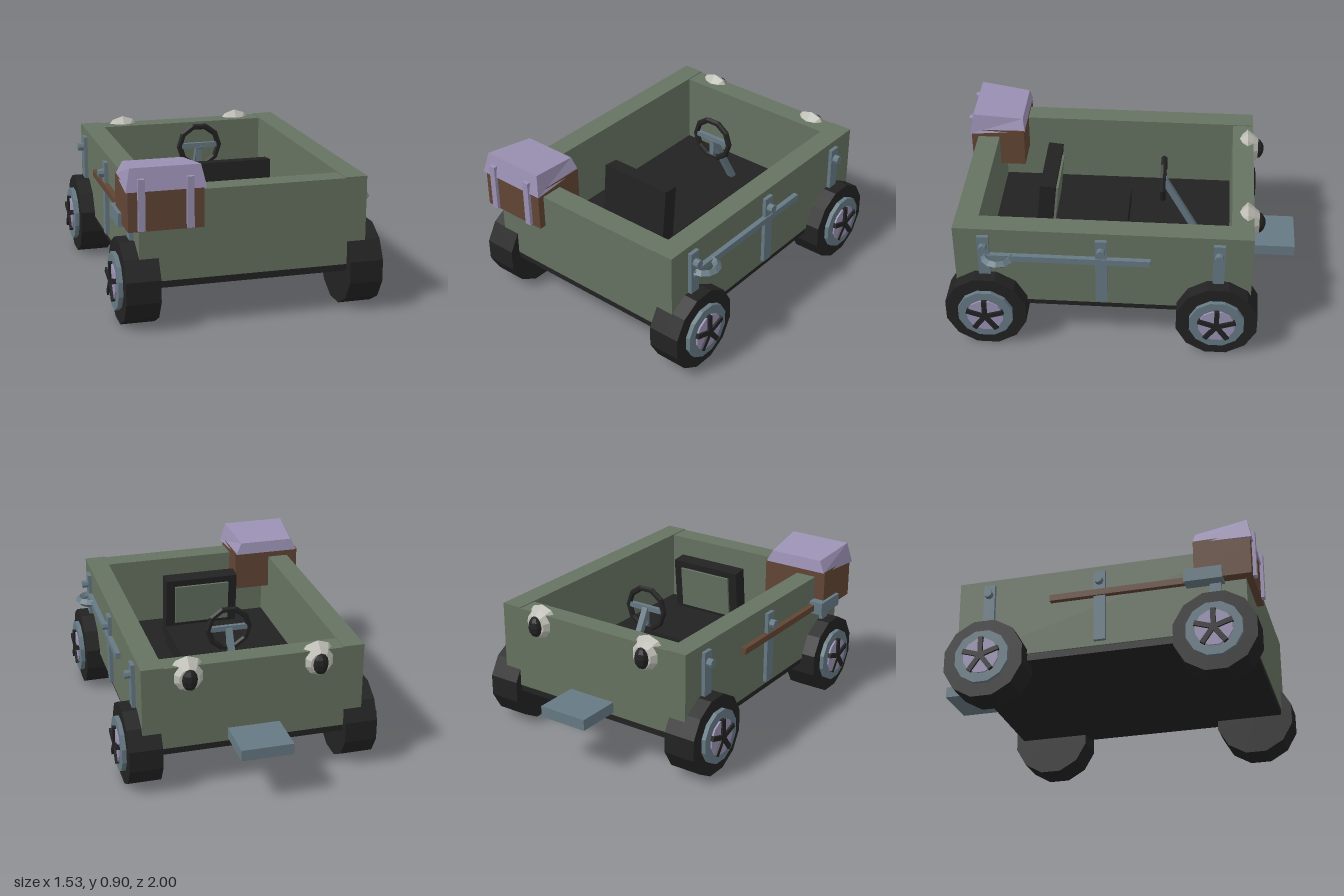
import * as THREE from 'three';

const mat = (name, color, extra = {}) => {
  const m = new THREE.MeshStandardMaterial({ color, flatShading: true, ...extra });
  m.name = name;
  return m;
};

export function createModel() {
  const green = mat('olive green', 0x667261);
  const dark = mat('dark rubber', 0x222222);
  const steel = mat('blue steel', 0x667983);
  const lilac = mat('lilac', 0x9b91b4);
  const brown = mat('brown wood', 0x614534);
  const cream = mat('pale grey', 0xbcbcb4);

  const car = new THREE.Group();
  car.name = 'offRoadCar';
  const add = (name, geo, m, x = 0, y = 0, z = 0, parent = car) => {
    const mesh = new THREE.Mesh(geo, m);
    mesh.name = name;
    mesh.position.set(x, y, z);
    parent.add(mesh);
    return mesh;
  };
  // Box given by its lower and upper limits on each axis
  const box = (name, m, [x0, x1], [y0, y1], [z0, z1], parent = car) =>
    add(name, new THREE.BoxGeometry(x1 - x0, y1 - y0, z1 - z0), m,
      (x0 + x1) / 2, (y0 + y1) / 2, (z0 + z1) / 2, parent);
  const group = (name, x, y, z) => {
    const g = new THREE.Group();
    g.name = name;
    g.position.set(x, y, z);
    car.add(g);
    return g;
  };

  // Open tub body
  box('floor', dark, [-0.625, 0.625], [0.226, 0.337], [-0.73, 0.935]);
  for (const s of [-1, 1])
    box('sideWall', green, s > 0 ? [0.51, 0.635] : [-0.635, -0.51], [0.265, 0.76], [-0.735, 0.94]);
  box('frontWall', green, [-0.51, 0.51], [0.265, 0.755], [0.81, 0.94]);
  box('rearWall', green, [-0.51, 0.51], [0.265, 0.755], [-0.735, -0.61]);
  box('hitchPlate', steel, [-0.15, 0.15], [0.28, 0.345], [-1, -0.735]);

  // Wheels: tyre, rim, hub disc and five spokes, built facing +x
  for (const s of [-1, 1]) for (const z of [0.77, -0.547]) {
    const w = group('wheel', s * 0.625, 0.23, z);
    if (s < 0) w.rotation.y = Math.PI;
    const disc = (name, r, x0, x1, m, n) => {
      const g = new THREE.CylinderGeometry(r, r, x1 - x0, n, 1, false, Math.PI / n);
      add(name, g.rotateZ(-Math.PI / 2), m, (x0 + x1) / 2, 0, 0, w);
    };
    disc('tyre', 0.238, -0.095, 0.095, dark, 12);
    disc('rim', 0.16, 0.09, 0.12, steel, 12);
    disc('hubDisc', 0.106, 0.115, 0.13, lilac, 12);
    for (let i = 0; i < 5; i++) {
      const g = new THREE.BoxGeometry(0.02, 0.11, 0.028).translate(0, 0.055, 0);
      add('spoke', g.rotateX(i * Math.PI * 2 / 5), dark, 0.132, 0, 0, w);
    }
  }

  // Seat with a slightly leaning backrest and its padded panel
  box('seatCushion', dark, [-0.23, 0.23], [0.33, 0.45], [0, 0.45]);
  const back = group('seatBack', 0, 0.45, 0.485);
  back.rotation.x = -0.1;
  box('backrest', dark, [-0.225, 0.225], [-0.08, 0.32], [-0.045, 0.045], back);
  box('backrestPanel', green, [-0.17, 0.17], [0.03, 0.28], [-0.058, -0.044], back);

  // Steering wheel and column
  const steer = group('steering', 0, 0.7, -0.207);
  const ring = add('steeringRing', new THREE.TorusGeometry(0.123, 0.018, 6, 10), dark, 0, 0, 0, steer);
  ring.rotation.z = Math.PI / 10 - Math.PI / 10 * 2 + Math.PI / 10;
  box('steeringCrossbar', steel, [-0.11, 0.11], [-0.012, 0.018], [-0.012, 0.012], steer);
  box('steeringSpoke', steel, [-0.014, 0.014], [-0.11, 0], [-0.01, 0.01], steer);
  const column = new THREE.BoxGeometry(0.036, 0.42, 0.036).translate(0, -0.21, 0);
  add('steeringColumn', column, steel, 0, 0, 0, steer).rotation.x = 0.5;

  // Headlights
  const bowl = [[0, -0.055], [0.06, -0.052], [0.11, 0], [0.085, 0.035], [0.06, 0.065], [0, 0.068]]
    .map(p => new THREE.Vector2(...p));
  for (const s of [-1, 1]) {
    const lamp = group('headlight', s * 0.372, 0.69, -0.7);
    add('lampBowl', new THREE.LatheGeometry(bowl, 10).rotateX(-Math.PI / 2), cream, 0, 0, 0, lamp);
    const lens = add('lampLens', new THREE.SphereGeometry(1, 8, 6), dark, 0, -0.004, -0.065, lamp);
    lens.scale.set(0.045, 0.063, 0.037);
  }

  // Side straps with bolts
  for (const s of [-1, 1]) for (const [z, y0] of [[0.77, 0.4], [0.11, 0.29], [-0.547, 0.4]]) {
    box('sideStrap', steel, s > 0 ? [0.63, 0.657] : [-0.657, -0.63], [y0, 0.72], [z - 0.033, z + 0.033]);
    const bolt = new THREE.CylinderGeometry(0.025, 0.025, 0.045, 8).rotateZ(Math.PI / 2);
    add('bolt', bolt, steel, s * 0.668, 0.655, z);
  }

  // Crowbar with a hooked end on the left side
  box('crowbarShaft', steel, [0.633, 0.664], [0.563, 0.6], [-0.165, 0.78]);
  const hook = new THREE.TorusGeometry(0.075, 0.024, 4, 6, Math.PI).rotateZ(-Math.PI / 2).rotateX(Math.PI / 2);
  add('crowbarHook', hook, steel, 0.65, 0.582, 0.69);

  // Shovel on the right side
  box('shovelHandle', brown, [-0.667, -0.633], [0.563, 0.6], [-0.18, 0.62]);
  box('shovelBlade', steel, [-0.72, -0.63], [0.545, 0.62], [0.605, 0.82]);

  // Trunk with a tapered, sloping lid
  box('trunkBox', brown, [-0.7, -0.29], [0.56, 0.8], [0.66, 0.98]);
  const lid = new THREE.BoxGeometry(1, 1, 1);
  const p = lid.attributes.position;
  for (let i = 0; i < p.count; i++) {
    const top = p.getY(i) > 0, front = p.getZ(i) > 0;
    const half = top ? (front ? 0.19 : 0.165) : (front ? 0.217 : 0.2);
    p.setXYZ(i, -0.495 + Math.sign(p.getX(i)) * half,
      top ? (front ? 0.9 : 0.865) : (front ? 0.777 : 0.795),
      front ? (top ? 0.965 : 0.99) : (top ? 0.668 : 0.655));
  }
  lid.computeVertexNormals();
  add('trunkLid', lid, lilac);
  for (const x of [-0.63, -0.368])
    box('trunkStrap', lilac, [x - 0.019, x + 0.019], [0.567, 0.845], [0.975, 1]);

  return car;
}
